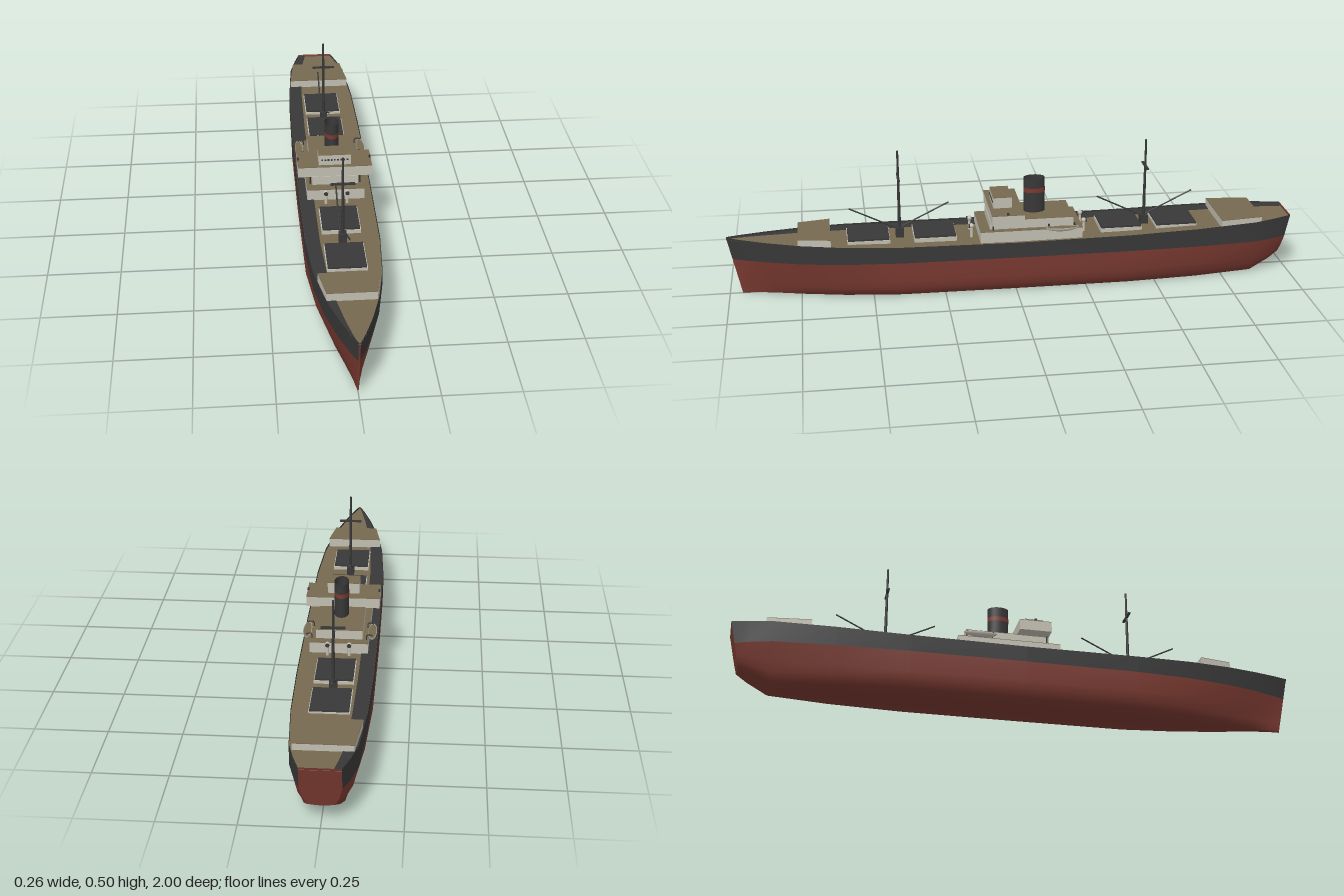
import * as THREE from 'three';

const mat = (name, color) => Object.assign(new THREE.MeshStandardMaterial({ color, side: THREE.DoubleSide }), { name });

export function createModel() {
  const M = {
    red: mat('hull red', 0x7a3a31), dark: mat('charcoal', 0x383838),
    deck: mat('deck brown', 0x776950), cream: mat('cream paint', 0xc2bfb2),
  };
  const ship = new THREE.Group();
  ship.name = 'cargoShip';
  const add = (name, geo, m, x = 0, y = 0, z = 0) => {
    const mesh = new THREE.Mesh(geo, m);
    mesh.name = name;
    mesh.position.set(x, y, z);
    ship.add(mesh);
    return mesh;
  };
  const box = (name, m, x0, x1, y0, y1, z0, z1) => add(name,
    new THREE.BoxGeometry(x1 - x0, y1 - y0, z1 - z0), m, (x0 + x1) / 2, (y0 + y1) / 2, (z0 + z1) / 2);
  const rod = (name, m, a, b, r, sides = 8) => {
    const A = new THREE.Vector3(...a), B = new THREE.Vector3(...b), d = B.clone().sub(A);
    const mesh = add(name, new THREE.CylinderGeometry(r, r, d.length(), sides), m);
    mesh.position.copy(A).add(B).multiplyScalar(0.5);
    mesh.quaternion.setFromUnitVectors(new THREE.Vector3(0, 1, 0), d.normalize());
    return mesh;
  };
  // Surface through rows of points
  const loft = (rows) => {
    const n = rows[0].length, index = [];
    for (let i = 0; i < rows.length - 1; i++) for (let j = 0; j < n - 1; j++) {
      const a = i * n + j, b = a + n;
      index.push(a, a + 1, b, b, a + 1, b + 1);
    }
    const g = new THREE.BufferGeometry();
    g.setAttribute('position', new THREE.Float32BufferAttribute(rows.flat(2), 3));
    g.setIndex(index);
    g.computeVertexNormals();
    return g;
  };

  // Hull stations: z at rail, z at keel, half beam, rail height, keel height, fullness below
  const stations = [
    [-1, -0.968, 0.065, 0.212, 0.06, 0.8], [-0.94, -0.93, 0.085, 0.209, 0.038, 0.8],
    [-0.86, -0.86, 0.106, 0.206, 0.002, 0.75], [-0.65, -0.65, 0.122, 0.199, 0, 0.9],
    [-0.4, -0.4, 0.128, 0.192, 0, 1], [0, 0, 0.129, 0.188, 0, 1], [0.4, 0.4, 0.125, 0.191, 0, 1],
    [0.6, 0.595, 0.111, 0.196, 0, 0.88], [0.75, 0.735, 0.085, 0.201, 0, 0.74],
    [0.87, 0.84, 0.052, 0.206, 0, 0.6], [0.95, 0.91, 0.024, 0.21, 0, 0.5], [1, 0.955, 0.003, 0.213, 0, 1],
  ];
  const side = (s, heights) => heights.map(([f, y]) => {
    const t = (y - s[4]) / (s[3] - s[4]);
    return [f * s[2], y, s[1] + (s[0] - s[1]) * t];
  });
  const lower = (s) => {
    const k = s[4], f = s[5], up = (t) => k + (0.132 - k) * t;
    return side(s, [[0, k], [0.45 * f, k + 0.002], [0.82 * f, k + 0.005],
      [0.92 * f, up(0.24)], [0.985 * (0.4 + 0.6 * f), up(0.47)], [1, 0.132]]);
  };
  const upper = (s) => side(s, [[1, 0.132], [1, s[3]]]);
  const flip = (p) => p.map(([x, y, z]) => [-x, y, z]);
  const full = (s) => [...flip(lower(s)).reverse(), ...lower(s).slice(1)];
  add('hullBottom', loft(stations.map(full)), M.red);
  add('hullTopsideLeft', loft(stations.map((s) => upper(s).reverse())), M.dark).scale.x = -1;
  add('hullTopsideRight', loft(stations.map((s) => upper(s).reverse())), M.dark);

  // Flat transom and stem faces
  for (const [name, s] of [['transom', stations[0]], ['stem', stations[stations.length - 1]]]) {
    const half = [...lower(s), upper(s)[1]];
    add(name, loft([half, flip(half)]), M.red);
  }
  box('stemBar', M.red, -0.004, 0.004, 0.132, 0.195, 0.975, 0.982).rotation.x = 0.21;

  // Deck just inside the rail, with a dark strip along the right side
  const sink = 0.008;
  add('mainDeck', loft(stations.map((s) =>
    [[-s[2] * 0.99, s[3] - sink, s[0]], [s[2] * 0.99, s[3] - sink, s[0]]]).reverse()), M.deck);
  add('sideDeckStrip', loft(stations.map((s) =>
    [[-s[2] * 0.99, s[3] - sink + 0.002, s[0]], [-s[2] * 0.6, s[3] - sink + 0.002, s[0]]]).reverse()), M.dark);

  // Houses: cream walls with a thin brown roof
  const house = (name, hx, y0, y1, z0, z1) => {
    box(name, M.cream, -hx, hx, y0, y1 - 0.002, z0, z1);
    box(name + 'Roof', M.deck, -hx, hx, y1 - 0.002, y1, z0, z1);
  };
  const taperHouse = (name, y0, y1, z0, w0, z1, w1) => {
    const shape = new THREE.Shape([[-w0, -z0], [w0, -z0], [w1, -z1], [-w1, -z1]].map((p) => new THREE.Vector2(...p)));
    for (const [part, m, a, b] of [['', M.cream, y0, y1 - 0.002], ['Roof', M.deck, y1 - 0.002, y1]]) {
      add(name + part, new THREE.ExtrudeGeometry(shape, { depth: b - a, bevelEnabled: false }), m, 0, a).rotation.x = -Math.PI / 2;
    }
  };
  taperHouse('foreHouse', 0.18, 0.223, 0.642, 0.1, 0.755, 0.08);
  taperHouse('aftHouse', 0.185, 0.223, -0.885, 0.095, -0.735, 0.112);
  house('midshipHouse', 0.1, 0.175, 0.222, -0.235, 0.125);
  house('boatDeckHouse', 0.08, 0.222, 0.256, -0.205, -0.02);
  box('bridgeBase', M.cream, -0.08, 0.08, 0.222, 0.254, -0.022, 0.09);
  house('bridge', 0.129, 0.253, 0.291, -0.025, 0.088);
  house('wheelhouse', 0.056, 0.291, 0.331, 0.01, 0.075);

  // Wheelhouse windows
  for (let i = -4; i <= 4; i++) box('window', M.dark, i * 0.011 - 0.003, i * 0.011 + 0.003, 0.308, 0.314, 0.074, 0.0765);

  // Oval open funnel with red band
  const funnelPart = (name, m, y0, y1, r = 1) =>
    add(name, new THREE.CylinderGeometry(r, r, y1 - y0, 32, 1, true), m, 0, (y0 + y1) / 2, -0.077).scale.set(0.025, 1, 0.037);
  funnelPart('funnel', M.dark, 0.25, 0.381);
  funnelPart('funnelBand', M.red, 0.329, 0.345, 1.03);

  // Masts with crosstree, foot and two cargo booms
  for (const z of [0.4, -0.475]) {
    add('mast', new THREE.CylinderGeometry(0.0035, 0.006, 0.32, 12), M.dark, 0, 0.34, z);
    box('crosstree', M.dark, -0.04, 0.04, 0.4, 0.406, z - 0.004, z + 0.004);
    box('mastFoot', M.dark, -0.013, 0.013, 0.18, 0.217, z - 0.014, z + 0.014);
    for (const s of [-1, 1]) rod('cargoBoom', M.dark, [s * 0.009, 0.213, z], [s * 0.009, 0.299, z + s * 0.174], 0.0027);
  }

  // Cargo hatches
  for (const z of [0.511, 0.279, -0.381, -0.581]) {
    box('hatchCoaming', M.cream, -0.066, 0.066, 0.175, 0.197, z - 0.074, z + 0.074);
    box('hatchCover', M.dark, -0.063, 0.063, 0.197, 0.203, z - 0.072, z + 0.072);
  }

  // Mirrored fittings
  for (const s of [-1, 1]) {
    // Cowl ventilators
    for (const [z, d] of [[0.15, 1], [-0.25, -1]]) {
      rod('ventStem', M.cream, [s * 0.037, 0.178, z], [s * 0.037, 0.222, z], 0.005, 12);
      add('ventCowl', new THREE.SphereGeometry(0.009, 12, 8), M.cream, s * 0.037, 0.223, z);
      rod('ventMouth', M.dark, [s * 0.037, 0.223, z + d * 0.006], [s * 0.037, 0.223, z + d * 0.01], 0.007, 12);
    }
    // Bridge wing supports and lamps
    rod('wingSupport', M.dark, [s * 0.087, 0.2, 0.08], [s * 0.087, 0.254, 0.08], 0.0025);
    box('wingLamp', M.dark, s * 0.126 - 0.003, s * 0.126 + 0.003, 0.291, 0.299, 0.028, 0.036);
    // Lifeboat: lower half of an ellipsoid with a flat top
    const hullGeo = new THREE.SphereGeometry(1, 20, 8, 0, Math.PI * 2, Math.PI / 2, Math.PI / 2);
    add('lifeboat', hullGeo, M.cream, s * 0.112, 0.232, -0.16).scale.set(0.015, 0.016, 0.058);
    const top = add('lifeboatInside', new THREE.CircleGeometry(1, 20), M.deck, s * 0.112, 0.231, -0.16);
    top.rotation.x = -Math.PI / 2;
    top.scale.set(0.013, 0.054, 1);
    // Davits
    for (const z of [-0.115, -0.205]) {
      const path = new THREE.CatmullRomCurve3([[0.094, 0.215], [0.094, 0.236], [0.101, 0.241], [0.114, 0.237]]
        .map(([x, y]) => new THREE.Vector3(s * x, y, z)));
      add('davit', new THREE.TubeGeometry(path, 10, 0.0022, 6), M.dark);
    }
  }
  return ship;
}
